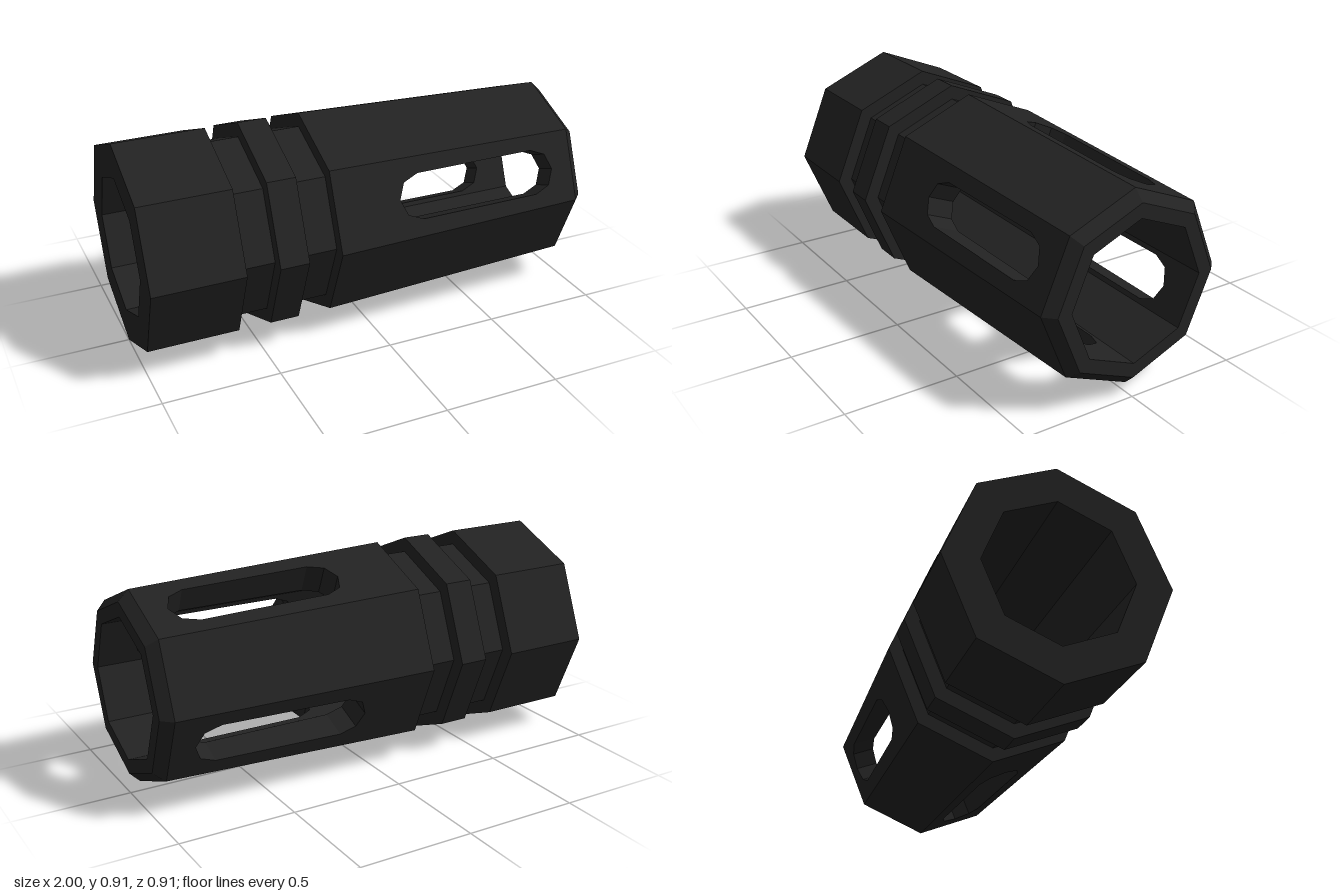
import * as THREE from 'three';

const SIDES = 8, STEP = Math.PI / 4, HALF = Math.PI / 8;
const CENTER_Y = 0.457, BORE = 0.307;

// Point on one side of the octagon: x along the axis, t across the face, d out from the axis
function place(side, x, t, d) {
  const a = HALF + side * STEP;
  const s = Math.sin(a), c = Math.cos(a);
  return [x, CENTER_Y + d * s + t * c, d * c - t * s];
}

// Corner of the octagon at radius r; edge is -1 or 1
const corner = (side, [x, r], edge) => place(side, x, edge * r * Math.sin(HALF), r * Math.cos(HALF));

const quad = (out, a, b, c, d) => out.push(...a, ...b, ...c, ...a, ...c, ...d);

// Slot outline, counter-clockwise, with four segments to each rounded end
function slotOutline() {
  const pts = [], w = 0.097;
  for (const [cx, start] of [[0.755, -Math.PI / 2], [0.192, Math.PI / 2]])
    for (let i = 0; i <= 4; i++) {
      const a = start + i * Math.PI / 4;
      pts.push(new THREE.Vector2(cx + w * Math.cos(a), w * Math.sin(a)));
    }
  return pts;
}

// Octagonal band that follows a profile of [x, radius] points
function addBand(out, profile, side) {
  for (let i = 0; i < profile.length - 1; i++) {
    const p = profile[i], q = profile[i + 1];
    quad(out, corner(side, p, -1), corner(side, q, -1), corner(side, q, 1), corner(side, p, 1));
  }
}

// Flat side panel from p to q with a slot cut through it
function addSlottedPanel(out, p, q, side, slot) {
  const inward = p[0] > q[0];
  const [a, b] = inward ? [q, p] : [p, q];
  const k = Math.sin(HALF);
  const contour = [[a, -1], [b, -1], [b, 1], [a, 1]]
    .map(([e, s]) => new THREE.Vector2(e[0], s * e[1] * k));
  const hole = slot.slice().reverse();
  const pts = contour.concat(hole);
  for (const face of THREE.ShapeUtils.triangulateShape(contour, [hole])) {
    if (inward) face.reverse();
    for (const i of face) out.push(...place(side, pts[i].x, pts[i].y, depthAt(a, b, pts[i].x)));
  }
}

const depthAt = (a, b, x) =>
  THREE.MathUtils.mapLinear(x, a[0], b[0], a[1], b[1]) * Math.cos(HALF);

export function createModel() {
  const group = new THREE.Group();
  const blackMetal = new THREE.MeshStandardMaterial({ color: 0x222222 });
  blackMetal.name = 'blackMetal';

  const addMesh = (name, positions) => {
    const g = new THREE.BufferGeometry();
    g.setAttribute('position', new THREE.Float32BufferAttribute(positions, 3));
    g.computeVertexNormals();
    const mesh = new THREE.Mesh(g, blackMetal);
    mesh.name = name;
    group.add(mesh);
  };

  // Plain octagonal bands along the outside
  const bands = {
    rearCollar: [[-1, BORE], [-1, 0.457], [-0.61, 0.457], [-0.61, 0.394]],
    rearGroove: [[-0.61, 0.394], [-0.47, 0.394]],
    middleRing: [[-0.47, 0.394], [-0.47, 0.457], [-0.345, 0.457], [-0.345, 0.394]],
    frontGroove: [[-0.345, 0.394], [-0.2, 0.394]],
    sleeveShoulder: [[-0.2, 0.394], [-0.2, 0.455]],
    muzzleRim: [[0.955, 0.415], [1, 0.37], [1, BORE]],
  };
  for (const [name, profile] of Object.entries(bands)) {
    const out = [];
    for (let s = 0; s < SIDES; s++) addBand(out, profile, s);
    addMesh(name, out);
  }

  // Tapered sleeve and bore, slotted on every other side
  const sleeve = [[-0.2, 0.455], [0.955, 0.415]];
  const bore = [[1, BORE], [-1, BORE]];
  const slot = slotOutline();
  const sleeveOut = [], boreOut = [], wallOut = [];
  for (let s = 0; s < SIDES; s++) {
    if (s % 2) {
      addBand(sleeveOut, sleeve, s);
      addBand(boreOut, bore, s);
      continue;
    }
    addSlottedPanel(sleeveOut, ...sleeve, s, slot);
    addSlottedPanel(boreOut, ...bore, s, slot);
    // Walls of the slot between sleeve and bore
    slot.forEach((p, i) => {
      const q = slot[(i + 1) % slot.length];
      const outer = v => place(s, v.x, v.y, depthAt(...sleeve, v.x));
      const inner = v => place(s, v.x, v.y, BORE * Math.cos(HALF));
      quad(wallOut, outer(p), outer(q), inner(q), inner(p));
    });
  }
  addMesh('taperedSleeve', sleeveOut);
  addMesh('bore', boreOut);
  addMesh('slotWalls', wallOut);
  return group;
}
